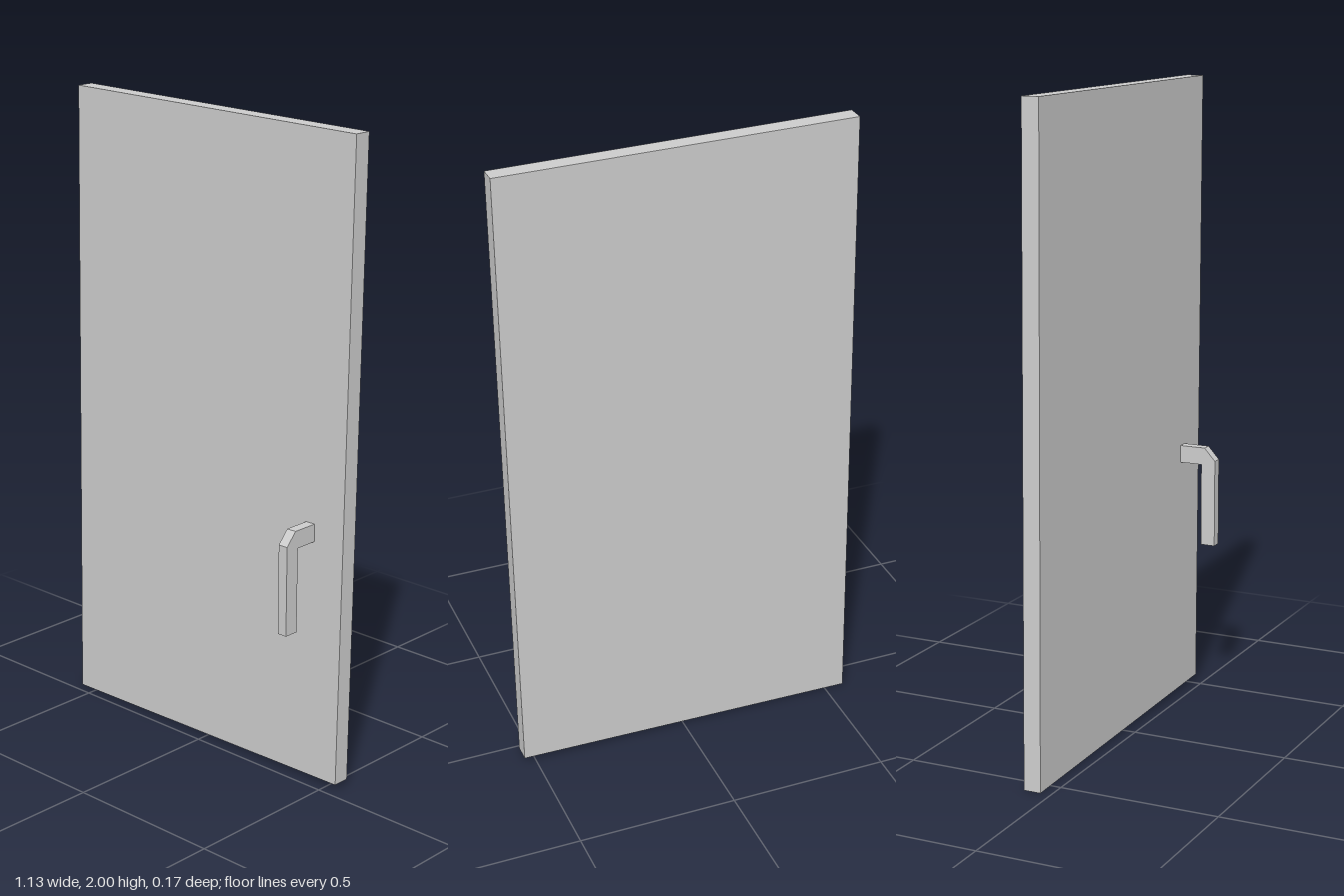
import * as THREE from 'three';

const material = new THREE.MeshStandardMaterial({ color: 0xcccccc, flatShading: true });

// Extrude a closed outline by the given depth along +z
function extrude(points, depth) {
  const shape = new THREE.Shape(points.map(([x, y]) => new THREE.Vector2(x, y)));
  return new THREE.ExtrudeGeometry(shape, { depth, bevelEnabled: false });
}

function addPart(group, name, geometry) {
  const mesh = new THREE.Mesh(geometry, material);
  mesh.name = name;
  group.add(mesh);
}

export function createModel() {
  const group = new THREE.Group();
  group.name = 'door';

  // Slightly skewed door slab
  const panel = extrude([[-0.565, 0], [0.536, 0.017], [0.563, 1.99], [-0.535, 2]], 0.054);
  panel.translate(0, 0, -0.087);
  addPart(group, 'doorPanel', panel);

  // Hook-shaped handle: side profile as (z, y), turned to run across x
  const handle = extrude([
    [-0.033, 0.772], [0.04, 0.772], [0.04, 0.508], [0.087, 0.508],
    [0.087, 0.787], [0.051, 0.827], [-0.033, 0.827],
  ], 0.032);
  handle.rotateY(-Math.PI / 2).translate(0.437, 0, 0);
  addPart(group, 'handle', handle);

  return group;
}
